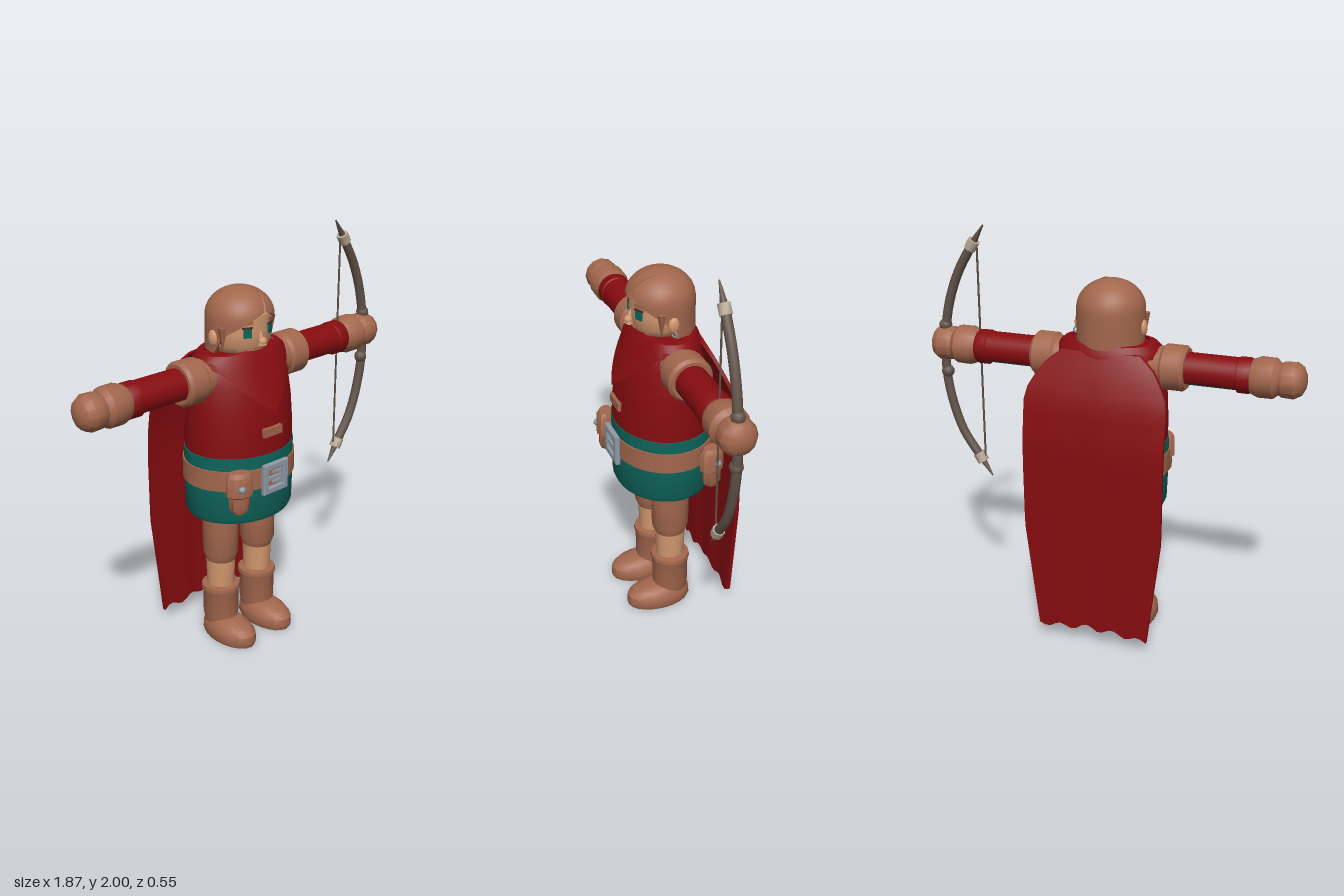
import * as THREE from 'three';
import { toCreasedNormals } from 'three/addons/utils/BufferGeometryUtils.js';

const mat = (name, color, side = THREE.FrontSide) => {
  const m = new THREE.MeshStandardMaterial({ color, side });
  m.name = name;
  return m;
};
const leather = mat('brown leather', 0xa3674d);
const skin = mat('skin', 0xd2976f);
const red = mat('red cloth', 0x860c10, THREE.DoubleSide);
const teal = mat('teal cloth', 0x0d655b);
const silver = mat('silver', 0x8f9aa6);
const wood = mat('bow wood', 0x62544a);
const cream = mat('pale binding', 0xb8a894);
const lash = mat('dark brown', 0x4a2c22);

const { sin, cos, PI, abs, sqrt, max, min } = Math;

function add(parent, name, geo, material, x = 0, y = 0, z = 0) {
  const m = new THREE.Mesh(geo, material);
  m.name = name;
  m.position.set(x, y, z);
  parent.add(m);
  return m;
}

// Closed surface around y; point(a, row) gives [x, y, z], rows run upward and a = 0 is the front
function wrap(rows, point, sides = 24, crease = 0.6) {
  const pos = [], idx = [];
  for (let j = 0; j < rows; j++)
    for (let i = 0; i <= sides; i++) pos.push(...point(((i % sides) / sides) * 2 * PI - PI, j));
  for (let j = 0; j < rows - 1; j++)
    for (let i = 0; i < sides; i++) {
      const a = j * (sides + 1) + i, b = a + sides + 1;
      idx.push(a, a + 1, b + 1, a, b + 1, b);
    }
  const g = new THREE.BufferGeometry();
  g.setAttribute('position', new THREE.Float32BufferAttribute(pos, 3));
  g.setIndex(idx);
  return toCreasedNormals(g, crease);
}
// Stack of ellipses [y, rx, rz, centre z]
const loft = (rings, sides) => wrap(rings.length, (a, j) => {
  const [y, rx, rz, cz = 0] = rings[j];
  return [rx * sin(a), y, cz + rz * cos(a)];
}, sides);

// Turned shape along x from [x, radius] pairs
const turnedX = (pts, sides = 16) => toCreasedNormals(
  new THREE.LatheGeometry(pts.map(([x, r]) => new THREE.Vector2(r, x)), sides).rotateZ(-PI / 2), 0.6);

// Tube whose radius follows a rule along its length
function taperedTube(points, radius, steps = 40, sides = 10) {
  const curve = new THREE.CatmullRomCurve3(points.map(p => new THREE.Vector3(...p)));
  const g = new THREE.TubeGeometry(curve, steps, 1, sides);
  const p = g.attributes.position, v = new THREE.Vector3();
  for (let i = 0; i < p.count; i++) {
    const t = Math.floor(i / (sides + 1)) / steps, c = curve.getPointAt(t);
    v.fromBufferAttribute(p, i).sub(c).multiplyScalar(radius(t)).add(c);
    p.setXYZ(i, v.x, v.y, v.z);
  }
  return g;
}

// Linear lookup in [key, value] pairs
function lookup(table, k) {
  for (let i = 1; i < table.length; i++)
    if (k <= table[i][0]) {
      const [k0, v0] = table[i - 1], [k1, v1] = table[i];
      return v0 + (v1 - v0) * max(0, (k - k0) / (k1 - k0));
    }
  return table[table.length - 1][1];
}

function buildHead() {
  const head = new THREE.Group();
  head.name = 'head';
  add(head, 'face', loft([[1.47, 0, 0], [1.49, 0.09, 0.09], [1.505, 0.125, 0.125], [1.54, 0.152, 0.143],
    [1.6, 0.157, 0.148], [1.68, 0.155, 0.147], [1.74, 0.1, 0.1], [1.75, 0, 0]], 32), skin);
  // Hair cap with a parted fringe, folded inward at its lower edge
  const edge = [[0, 1.70], [0.4, 1.675], [1.2, 1.6], [1.45, 1.56], [1.6, 1.5], [3.2, 1.49]];
  add(head, 'hair', wrap(15, (a, j) => {
    const e = lookup(edge, abs(a - 0.1 * cos(a / 2)));
    const t = max(0, j - 1) / 13, y = e + (1.795 - e) * sin(t * PI / 2);
    const k = y < 1.66 ? 1 : sqrt(max(0, 1 - ((y - 1.66) / 0.135) ** 2));
    const r = 0.163 * k * (j === 0 ? 0.86 : 1);
    return [r * sin(a), y, 0.004 + r * cos(a)];
  }, 48), leather);
  add(head, 'parting', taperedTube([[0.015, 1.695, 0.158], [0.03, 1.74, 0.13], [0.045, 1.777, 0.08], [0.055, 1.787, 0.03]],
    t => 0.008 * (1 - t) + 0.002, 12, 6), leather);
  // Nose and mouth
  const nose = add(head, 'nose', new THREE.ConeGeometry(0.026, 0.085, 5), skin, 0, 1.585, 0.15);
  nose.rotation.x = -0.2;
  add(head, 'noseTip', new THREE.SphereGeometry(0.021, 10, 8), skin, 0, 1.562, 0.16);
  add(head, 'mouth', new THREE.BoxGeometry(0.06, 0.007, 0.009), leather, 0, 1.53, 0.14);
  for (const s of [-1, 1]) {
    const onFace = (name, w, h, m, a, y, tilt = 0) => {
      const p = add(head, name, new THREE.BoxGeometry(w, h, 0.009), m, s * 0.158 * sin(a), y, 0.149 * cos(a));
      p.rotation.set(0, s * a, s * tilt);
    };
    onFace('eye', 0.038, 0.044, teal, 0.46, 1.607);
    onFace('eyelash', 0.05, 0.008, lash, 0.46, 1.632);
    onFace('eyebrow', 0.066, 0.016, leather, 0.5, 1.653, -0.1);
    const ear = add(head, 'ear', new THREE.SphereGeometry(0.035, 12, 10), skin, s * 0.16, 1.575, 0.0);
    ear.scale.set(0.55, 1.15, 0.8);
    const lock = add(head, 'sideLock', new THREE.ConeGeometry(0.022, 0.12, 6), leather, s * 0.153, 1.575, 0.055);
    lock.rotation.x = PI;
  }
  const ring = add(head, 'earring', new THREE.TorusGeometry(0.014, 0.004, 6, 12), silver, 0.172, 1.535, 0);
  ring.rotation.y = 0.5;
  return head;
}

function buildArm(s) {
  const arm = new THREE.Group();
  arm.name = s > 0 ? 'leftArm' : 'rightArm';
  arm.position.y = 1.4;
  arm.rotation.y = s > 0 ? 0 : PI;
  add(arm, 'shoulderBand', turnedX([[0.2, 0.09], [0.262, 0.095], [0.275, 0.108], [0.365, 0.108], [0.38, 0.095], [0.38, 0]], 24), leather);
  add(arm, 'innerSleeve', turnedX([[0.3, 0.073], [0.7, 0.073]], 20), teal);
  // Red oversleeve left open along the underside
  const gap = 0.85;
  add(arm, 'oversleeve', new THREE.CylinderGeometry(0.079, 0.079, 0.3, 20, 1, true, PI / 2 + gap, 2 * PI - 2 * gap)
    .rotateZ(-PI / 2), red, 0.5);
  add(arm, 'sleeveCuff', turnedX([[0.615, 0.07], [0.625, 0.084], [0.675, 0.084], [0.7, 0.07]], 20), red);
  add(arm, 'gloveCuff', turnedX([[0.685, 0], [0.685, 0.08], [0.72, 0.095], [0.79, 0.094], [0.82, 0.068], [0.83, 0]]), leather);
  add(arm, 'fist', turnedX([[0.8, 0], [0.805, 0.07], [0.83, 0.084], [0.885, 0.086], [0.915, 0.068], [0.932, 0.035], [0.934, 0]], 12), leather);
  return arm;
}

function buildLeg(s) {
  const leg = new THREE.Group();
  leg.name = s > 0 ? 'leftLeg' : 'rightLeg';
  leg.position.x = s * 0.124;
  add(leg, 'trouser', loft([[0.425, 0, 0], [0.425, 0.072, 0.075], [0.465, 0.083, 0.092], [0.6, 0.084, 0.094], [0.75, 0.09, 0.1]], 16), leather);
  add(leg, 'shin', loft([[0.26, 0.066, 0.068], [0.44, 0.072, 0.075]], 16), skin);
  add(leg, 'boot', loft([[0.07, 0.075, 0.085], [0.12, 0.086, 0.09], [0.24, 0.088, 0.09], [0.265, 0.098, 0.098],
    [0.285, 0.094, 0.095], [0.29, 0.072, 0.074], [0.29, 0, 0]], 16), leather);
  add(leg, 'foot', loft([[0, 0, 0, 0.065], [0, 0.09, 0.158, 0.065], [0.02, 0.099, 0.166, 0.065], [0.06, 0.096, 0.163, 0.064],
    [0.088, 0.08, 0.14, 0.06], [0.11, 0.06, 0.095, 0.025], [0.12, 0, 0]], 20), leather);
  return leg;
}

function buildPouch(x, z, turn) {
  const pouch = new THREE.Group();
  pouch.name = 'beltPouch';
  pouch.position.set(x, 0, z);
  pouch.rotation.y = turn;
  add(pouch, 'pouchBody', loft([[0.765, 0, 0], [0.775, 0.03, 0.025], [0.8, 0.05, 0.035], [0.9, 0.055, 0.035], [0.95, 0.05, 0.03]], 8), leather);
  add(pouch, 'pouchFlap', loft([[0.86, 0.05, 0.035], [0.87, 0.066, 0.046], [0.965, 0.064, 0.044], [0.985, 0.05, 0.03], [0.985, 0, 0]], 10), leather);
  add(pouch, 'pouchButton', new THREE.SphereGeometry(0.018, 10, 8), silver, 0, 0.912, 0.042);
  return pouch;
}

function buildCape() {
  const width = [[0, 0.28], [0.38, 0.345], [0.86, 0.35], [0.95, 0.28], [1, 0.19]];
  const depth = [[0, -0.265], [0.7, -0.265], [0.84, -0.24], [0.94, -0.19], [1, -0.15]];
  const g = new THREE.BoxGeometry(2, 1, 1, 20, 24, 1), p = g.attributes.position;
  for (let i = 0; i < p.count; i++) {
    const u = p.getX(i), v = p.getY(i) + 0.5;
    const hem = (1 - v) ** 6 * (0.025 * (1 - abs(u)) + 0.014 * sin(u * 13));
    const ripple = 0.004 * sin(u * 9) * (1 - v);
    p.setXYZ(i, u * lookup(width, v), 0.07 + 1.41 * v + hem,
      lookup(depth, v) + 0.05 * u * u * max(0, v - 0.6) + ripple + p.getZ(i) * 0.018);
  }
  return toCreasedNormals(g, 0.7);
}

function buildBow() {
  const bow = new THREE.Group();
  bow.name = 'bow';
  const path = [[0.642, 2, 0], [0.705, 1.9, 0], [0.79, 1.75, 0], [0.85, 1.57, 0], [0.875, 1.36, 0],
    [0.865, 1.17, 0], [0.8, 0.95, 0], [0.705, 0.805, 0], [0.642, 0.71, 0]];
  add(bow, 'bowLimbs', taperedTube(path, t => min(0.003 + 0.2 * min(t, 1 - t), 0.023)), wood);
  add(bow, 'bowString', new THREE.CylinderGeometry(0.005, 0.005, 1.08, 6), wood, 0.68, 1.355, 0);
  for (const [y, tilt] of [[1.9, 0.55], [0.805, -0.55]]) {
    const wrapBand = add(bow, 'limbBinding', toCreasedNormals(new THREE.CylinderGeometry(0.03, 0.03, 0.05, 8), 0.9), cream, 0.705, y, 0);
    wrapBand.rotation.z = tilt;
  }
  for (const y of [1.49, 1.25]) add(bow, 'gripRing', new THREE.SphereGeometry(0.032, 12, 8), wood, 0.868, y, 0);
  return bow;
}

export function createModel() {
  const model = new THREE.Group();
  model.name = 'archer';

  // Tunic and trousers
  add(model, 'hips', loft([[0.61, 0, 0], [0.625, 0.1, 0.1], [0.66, 0.17, 0.15], [0.71, 0.21, 0.18]]), leather);
  add(model, 'skirt', loft([[0.69, 0, 0], [0.69, 0.268, 0.225], [0.715, 0.28, 0.236], [0.88, 0.286, 0.238],
    [1.03, 0.286, 0.237], [1.035, 0.26, 0.21]], 32), teal);
  add(model, 'tunic', loft([[1.02, 0.25, 0.2], [1.02, 0.281, 0.234], [1.12, 0.282, 0.23], [1.25, 0.278, 0.213],
    [1.38, 0.265, 0.185], [1.47, 0.24, 0.145], [1.505, 0.19, 0.11], [1.505, 0, 0]], 32), red);
  add(model, 'chestTab', new THREE.BoxGeometry(0.115, 0.042, 0.02), leather, 0, 1.14, 0.229);

  // Pointed hood collar
  const cowl = [[0, 0.97, 0.93, 0.03], [0, 1, 1, 0], [0.6, 0.96, 0.96, 0], [1, 0.86, 0.86, 0], [1.05, 0.72, 0.8, 0]];
  add(model, 'hoodCollar', wrap(5, (a, j) => {
    const [t, kx, kz, lift] = cowl[j], point = max(0, 1 - abs(a) / 1.0);
    const low = 1.45 - 0.215 * point, y = low + (1.508 - low) * t + lift;
    const front = max(0, cos(a));
    const rz = 0.172 + (1 - min(1, t)) * 0.078 * point - 0.02 * front * t;
    return [0.262 * kx * sin(a), y, rz * kz * cos(a)];
  }, 40), red);
  add(model, 'cape', buildCape(), red);

  // Belt, buckle and pouches
  add(model, 'belt', loft([[0.868, 0.27, 0.22], [0.868, 0.292, 0.246], [0.97, 0.292, 0.246], [0.97, 0.27, 0.22]], 32), leather);
  const frame = new THREE.Shape([[-0.074, -0.072], [0.074, -0.072], [0.074, 0.072], [-0.074, 0.072]].map(p => new THREE.Vector2(...p)));
  frame.holes.push(new THREE.Path([[-0.05, -0.048], [-0.05, 0.048], [0.05, 0.048], [0.05, -0.048]].map(p => new THREE.Vector2(...p))));
  add(model, 'buckleFrame', new THREE.ExtrudeGeometry(frame, { depth: 0.018, bevelSize: 0.004, bevelThickness: 0.004, bevelSegments: 1 }),
    silver, 0, 0.913, 0.242);
  add(model, 'bucklePin', new THREE.BoxGeometry(0.1, 0.016, 0.014), silver, 0, 0.913, 0.254);
  for (const y of [0.888, 0.938]) add(model, 'buckleBar', new THREE.BoxGeometry(0.06, 0.012, 0.012), silver, 0.015, y, 0.25);
  add(model, 'bucklePost', new THREE.BoxGeometry(0.014, 0.06, 0.012), silver, 0.04, 0.913, 0.25);
  model.add(buildPouch(-0.2, 0.22, -0.45), buildPouch(0.305, -0.14, PI / 2 + 0.35));

  for (const s of [-1, 1]) model.add(buildArm(s), buildLeg(s));
  model.add(buildHead(), buildBow());
  return model;
}
